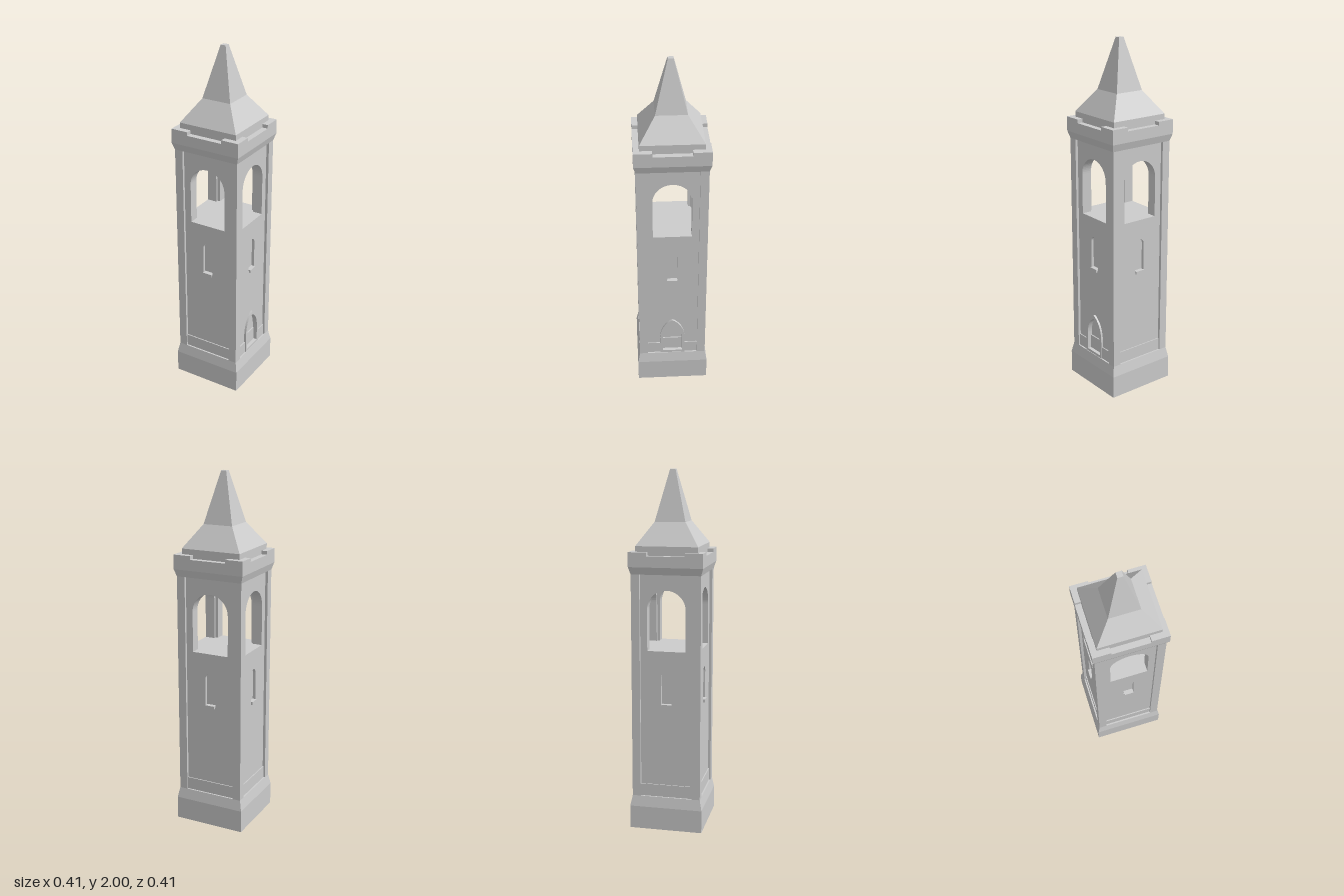
import * as THREE from 'three';

const WALL = 0.178, INNER = 0.122, CORE = 0.162, OUT = 0.193, PANEL = 0.146;
const material = new THREE.MeshStandardMaterial({ color: 0xcccccc, flatShading: true });

function add(parent, name, geometry) {
  const mesh = new THREE.Mesh(geometry, material);
  mesh.name = name;
  parent.add(mesh);
  return mesh;
}

// box given by its minimum and maximum corners
function box(parent, name, [x0, y0, z0], [x1, y1, z1]) {
  const mesh = add(parent, name, new THREE.BoxGeometry(x1 - x0, y1 - y0, z1 - z0));
  mesh.position.set((x0 + x1) / 2, (y0 + y1) / 2, (z0 + z1) / 2);
  return mesh;
}

// square solid from a profile of [half width, height], bottom to top
function squareSolid(parent, name, profile) {
  const points = profile.map(([r, y]) => new THREE.Vector2(r * Math.SQRT2, y));
  const geometry = new THREE.LatheGeometry(points, 4, Math.PI / 4).toNonIndexed();
  geometry.computeVertexNormals();
  return add(parent, name, geometry);
}

function extrude(parent, name, shape, z0, z1) {
  const geometry = new THREE.ExtrudeGeometry(shape, { depth: z1 - z0, bevelEnabled: false, curveSegments: 16 });
  geometry.translate(0, 0, z0);
  return add(parent, name, geometry);
}

// round-headed outline
function roundArch(path, w, bottom, top) {
  path.moveTo(-w, bottom);
  path.lineTo(w, bottom);
  path.lineTo(w, top - w);
  path.absarc(0, top - w, w, 0, Math.PI, false);
  path.lineTo(-w, bottom);
  return path;
}

// pointed outline
function pointedArch(path, w, bottom, spring, top) {
  path.moveTo(-w, bottom);
  path.lineTo(w, bottom);
  path.lineTo(w, spring);
  path.quadraticCurveTo(w * 0.92, spring + (top - spring) * 0.72, 0, top);
  path.quadraticCurveTo(-w * 0.92, spring + (top - spring) * 0.72, -w, spring);
  path.lineTo(-w, bottom);
  return path;
}

// one face of the tower, facing +z
function createSide(hasDoor) {
  const side = new THREE.Group();
  side.name = 'side';

  // wall with belfry opening, slit window and doorway
  const wall = new THREE.Shape();
  wall.moveTo(-WALL, 0.15);
  wall.lineTo(WALL, 0.15);
  wall.lineTo(WALL, 1.47);
  wall.lineTo(-WALL, 1.47);
  wall.closePath();
  wall.holes.push(roundArch(new THREE.Path(), 0.107, 1.025, 1.36));
  wall.holes.push(roundArch(new THREE.Path(), 0.03, 0.72, 0.912));
  if (hasDoor) wall.holes.push(pointedArch(new THREE.Path(), 0.062, 0.195, 0.31, 0.42));
  extrude(side, 'wall', wall, INNER, WALL);
  box(side, 'windowSill', [-0.027, 0.71, 0.15], [0.027, 0.727, 0.188]);

  // low band along the foot of the panel, interrupted by the door
  if (hasDoor) {
    for (const s of [-1, 1]) {
      const x = [s * 0.07, s * PANEL].sort((a, b) => a - b);
      box(side, 'footBand', [x[0], 0.18, 0.17], [x[1], 0.26, 0.184]);
    }
    const frame = pointedArch(new THREE.Shape(), 0.072, 0.18, 0.31, 0.438);
    frame.holes.push(pointedArch(new THREE.Path(), 0.057, 0.205, 0.31, 0.415));
    extrude(side, 'doorFrame', frame, 0.155, 0.19);
    box(side, 'doorPanel', [-0.056, 0.2, 0.155], [0.056, 0.285, 0.169]);
  } else {
    box(side, 'footBand', [-PANEL, 0.18, 0.17], [PANEL, 0.26, 0.184]);
  }
  return side;
}

export function createModel() {
  const tower = new THREE.Group();
  tower.name = 'tower';

  squareSolid(tower, 'base', [[0, 0], [0.205, 0], [0.205, 0.13], [OUT, 0.19], [0, 0.19]]);
  box(tower, 'core', [-CORE, 0.15, -CORE], [CORE, 1.025, CORE]);

  // four sides, with the door on the left one
  for (let i = 0; i < 4; i++) {
    const side = createSide(i === 1);
    side.rotation.y = i * Math.PI / 2;
    tower.add(side);
  }

  // corner pilasters and parapet corners
  for (const sx of [-1, 1]) for (const sz of [-1, 1]) {
    const w = OUT - PANEL, c = (OUT + PANEL) / 2;
    const pilaster = add(tower, 'cornerPilaster', new THREE.BoxGeometry(w, 1.28, w));
    pilaster.position.set(sx * c, 0.82, sz * c);
    const corner = add(tower, 'parapetCorner', new THREE.BoxGeometry(0.1, 0.03, 0.1));
    corner.position.set(sx * 0.155, 1.55, sz * 0.155);
  }

  squareSolid(tower, 'cornice', [[0, 1.445], [OUT, 1.445], [0.205, 1.485], [0.205, 1.545], [0, 1.545]]);
  squareSolid(tower, 'roof', [[0.172, 1.54], [0.172, 1.595], [0.085, 1.72], [0.015, 2], [0, 2]]);
  return tower;
}
